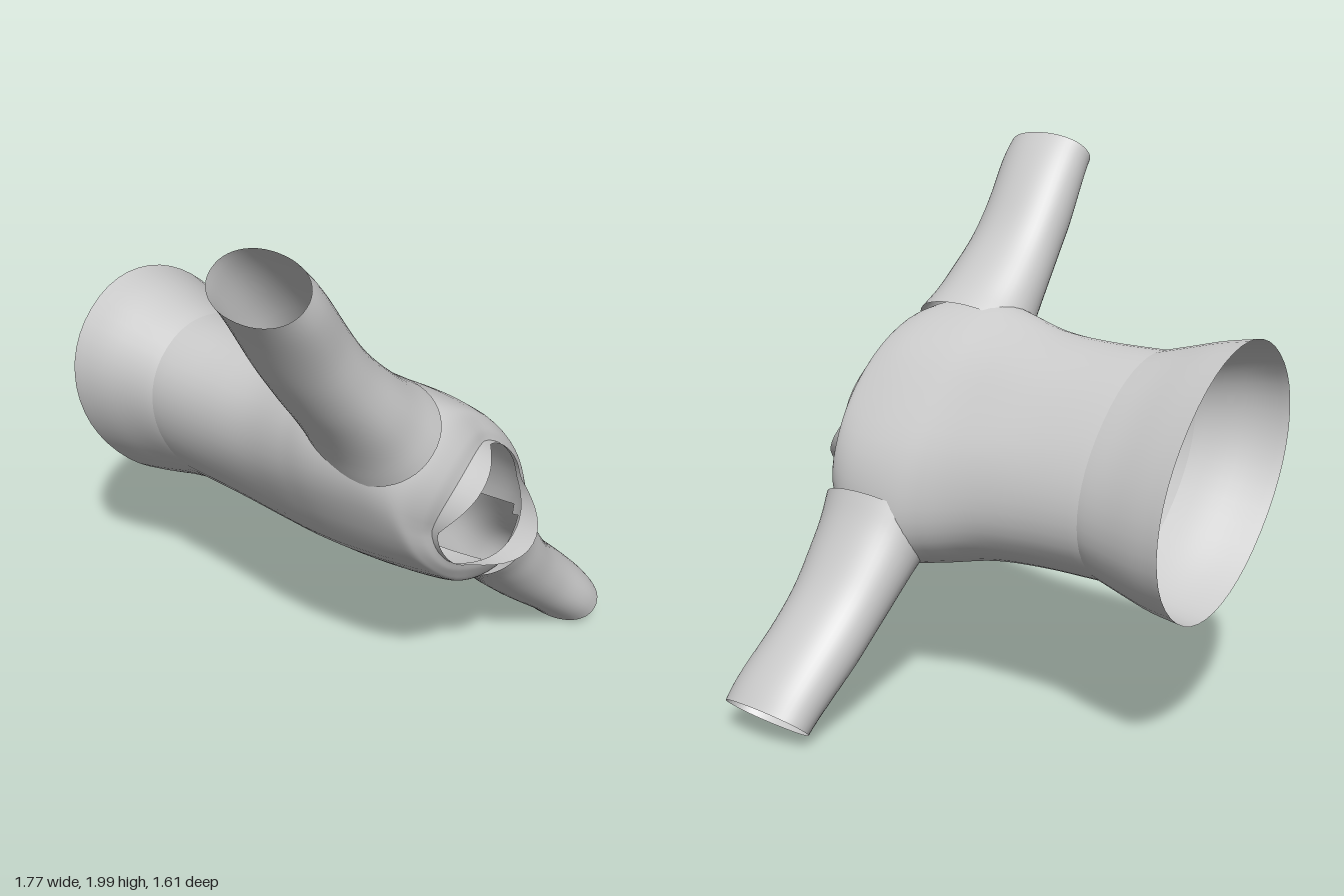
import * as THREE from 'three';

const SEG = 48;
const material = new THREE.MeshStandardMaterial({ color: 0xcccccc, side: THREE.DoubleSide });

// Skin rings of points; ring(i) is a section [along, halfA, halfB, power],
// place(p, q, along, angle) gives the final position, skip() leaves openings.
function loft(name, sections, steps, place, skip = () => false) {
  const curve = new THREE.CatmullRomCurve3(sections.map(s => new THREE.Vector3(...s)), false, 'centripetal');
  const pos = [], idx = [];
  const rpow = (t, e) => Math.sign(t) * Math.pow(Math.abs(t), e);
  for (let i = 0; i <= steps; i++) {
    const { x: along, y: a, z: b } = curve.getPoint(i / steps);
    for (let j = 0; j < SEG; j++) {
      const t = (j / SEG) * Math.PI * 2;
      pos.push(...place(a * rpow(Math.cos(t), 0.94), b * rpow(Math.sin(t), 0.94), along, t));
    }
  }
  for (let i = 0; i < steps; i++) {
    for (let j = 0; j < SEG; j++) {
      const k = (j + 1) % SEG;
      const a = i * SEG + j, b = i * SEG + k, c = b + SEG, d = a + SEG;
      const mid = [0, 1, 2].map(n => (pos[a * 3 + n] + pos[c * 3 + n]) / 2);
      if (!skip(mid)) idx.push(a, b, c, a, c, d);
    }
  }
  const geo = new THREE.BufferGeometry();
  geo.setAttribute('position', new THREE.Float32BufferAttribute(pos, 3));
  geo.setIndex(idx);
  geo.computeVertexNormals();
  const mesh = new THREE.Mesh(geo, material);
  mesh.name = name;
  return mesh;
}

// The middle of the body drifts slightly from hem to neck
const bodyCentre = z => THREE.MathUtils.lerp(-0.08, -0.04, THREE.MathUtils.smoothstep(z, 0.1, 0.7));

// How far the neckline dips at the chest and back
const dip = t => Math.min(1, 1.5 * Math.sin(t) ** 2);

export function createModel() {
  const model = new THREE.Group();
  const shirt = new THREE.Group();
  shirt.name = 'shirt';

  // Flared band below the waist, with a slightly slanted edge
  shirt.add(loft('hemBand', [
    [-0.79, 0.49, 0.36], [-0.68, 0.475, 0.335], [-0.56, 0.445, 0.305], [-0.45, 0.415, 0.285],
  ], 10, (p, q, z) => [p, q + bodyCentre(z), z - 0.05 * q * THREE.MathUtils.smoothstep(-z, 0.45, 0.79)]));

  // Torso, widening to the armpits and closing over the shoulders
  shirt.add(loft('torso', [
    [-0.45, 0.415, 0.285], [-0.2, 0.42, 0.28], [0, 0.44, 0.28], [0.2, 0.495, 0.28],
    [0.32, 0.525, 0.28], [0.45, 0.515, 0.275], [0.56, 0.48, 0.265], [0.65, 0.4, 0.25],
    [0.7, 0.3, 0.23], [0.715, 0.235, 0.205],
  ], 54, (p, q, z, t) => {
    // Soft lengthwise folds on chest and back
    const fold = 1 + 0.018 * Math.sin(7 * t + 2 * z) * Math.sin(t) ** 2
      * THREE.MathUtils.smoothstep(z, -0.4, 0.2) * (1 - THREE.MathUtils.smoothstep(z, 0.5, 0.68));
    const sink = 0.05 * dip(t) * THREE.MathUtils.smoothstep(z, 0.6, 0.715);
    return [p, q * fold + bodyCentre(z), z - sink];
  }, ([s, v, z]) => Math.abs(s) > 0.43 && Math.abs(v + 0.03) < 0.11 && z > 0.3 && z < 0.6));

  // Collar standing up beside the neck
  shirt.add(loft('collar', [
    [0, 0.235, 0.205], [0.5, 0.232, 0.204], [1, 0.23, 0.203],
  ], 4, (p, q, h, t) => [
    p, q - 0.04, THREE.MathUtils.lerp(0.715 - 0.05 * dip(t), 0.8 - 0.115 * dip(t), h),
  ]));

  // Sleeves: half width across the body, half depth along it
  const sleeve = [
    [0.4, 0.185, 0.235], [0.5, 0.16, 0.215], [0.62, 0.142, 0.203], [0.78, 0.13, 0.188],
    [0.95, 0.126, 0.183], [1.12, 0.117, 0.184], [1.22, 0.11, 0.18],
  ];
  for (const side of [1, -1]) {
    shirt.add(loft(side > 0 ? 'leftSleeve' : 'rightSleeve', sleeve, 26, (p, q, s) => {
      const v = -0.035 + 0.045 * THREE.MathUtils.smoothstep(s, 0.7, 1.22);
      const z = 0.455 + 0.02 * THREE.MathUtils.smoothstep(s, 0.9, 1.22);
      return [side * s, side * p + v, z + q];
    }));
  }

  // The shirt is turned so its sleeves run diagonally
  shirt.rotation.z = -0.856;
  shirt.position.y = 1;
  model.add(shirt);
  return model;
}
